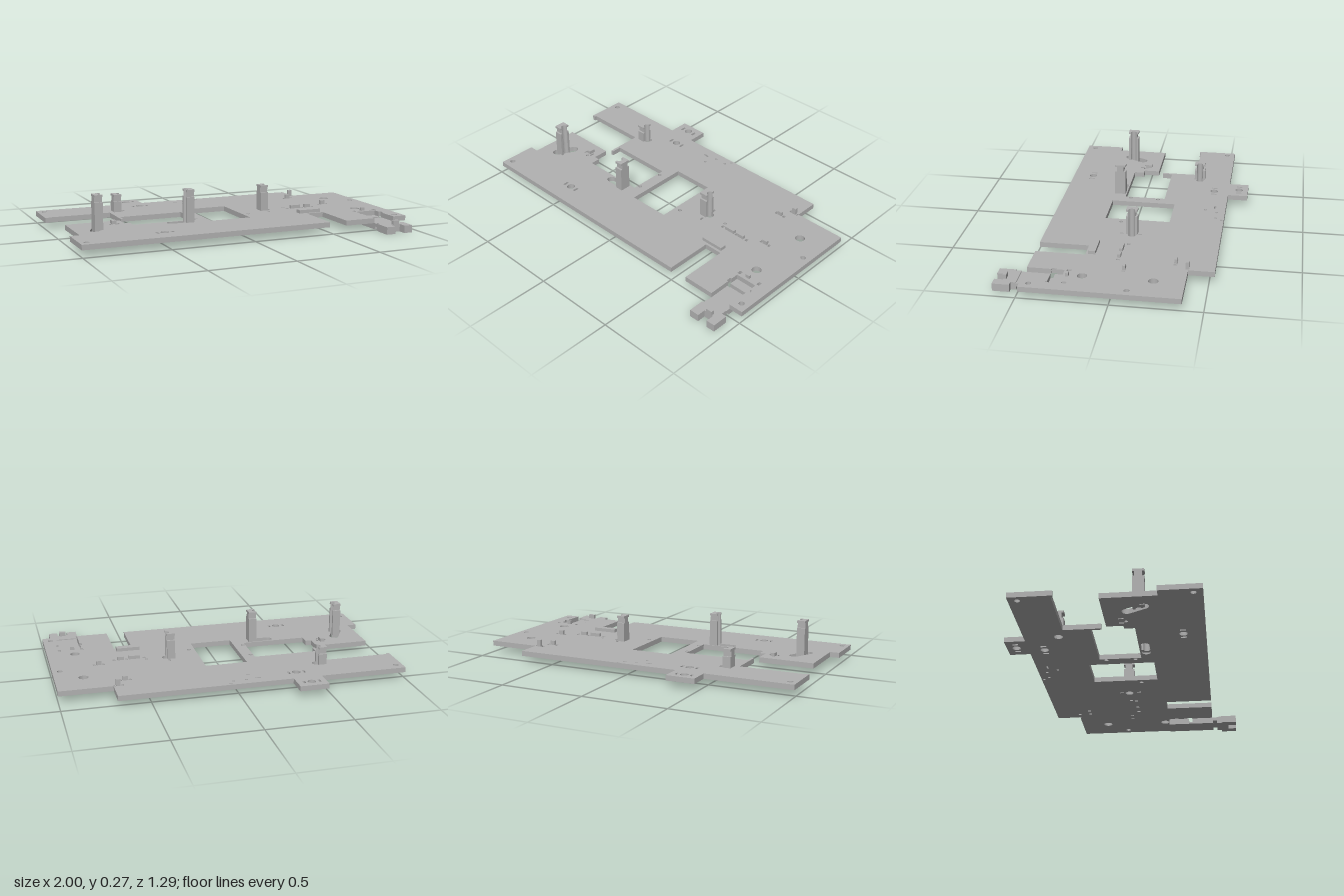
import * as THREE from 'three';

const grey = new THREE.MeshStandardMaterial({ color: 0xb2b2b2 });
grey.name = 'plain grey';

// Shapes are drawn with (x, z) coordinates and extruded upward in y.
function slab(name, shape, y0, y1) {
  const geo = new THREE.ExtrudeGeometry(shape, { depth: y1 - y0, bevelEnabled: false, curveSegments: 10 });
  geo.rotateX(Math.PI / 2); // (x, z, depth) -> (x, -depth, z)
  geo.translate(0, y1, 0);
  const mesh = new THREE.Mesh(geo, grey);
  mesh.name = name;
  return mesh;
}

function box(name, x0, x1, y0, y1, z0, z1) {
  const geo = new THREE.BoxGeometry(x1 - x0, y1 - y0, z1 - z0);
  geo.translate((x0 + x1) / 2, (y0 + y1) / 2, (z0 + z1) / 2);
  const mesh = new THREE.Mesh(geo, grey);
  mesh.name = name;
  return mesh;
}

const polygon = (pts) => new THREE.Shape(pts.map(([x, z]) => new THREE.Vector2(x, z)));

function roundHole(x, z, r) {
  return new THREE.Path().absarc(x, z, r, 0, Math.PI * 2, true);
}

function rectHole(x, z, w, d) {
  return new THREE.Path([[-1, -1], [-1, 1], [1, 1], [1, -1], [-1, -1]].map(
    ([i, j]) => new THREE.Vector2(x + (i * w) / 2, z + (j * d) / 2)));
}

// Rounded slot between two centres
function slotHole(xa, za, xb, zb, r) {
  const a = Math.atan2(zb - za, xb - xa);
  const path = new THREE.Path();
  path.absarc(xb, zb, r, a - Math.PI / 2, a + Math.PI / 2, false);
  path.absarc(xa, za, r, a + Math.PI / 2, a + Math.PI * 1.5, false);
  path.closePath();
  return path;
}

// Main board with its cut-outs
function basePlate() {
  const shape = polygon([
    [-1, -0.53], [-0.485, -0.53], [-0.485, -0.65], [-0.315, -0.65], [-0.315, -0.53],
    [0.69, -0.53], [0.69, -0.385], [1, -0.385], [1, 0.485],
    [0.93, 0.485], [0.915, 0.485], [0.915, 0.35], [0.93, 0.35], [0.93, 0.32], [0.915, 0.32], [0.915, 0.275],
    [0.785, 0.275], [0.785, 0.32], [0.775, 0.32], [0.775, 0.35], [0.785, 0.35], [0.785, 0.485],
    [0.595, 0.485], [0.595, 0.2], [0.485, 0.2], [0.485, 0.485], [-1, 0.485],
    [-1, 0.25], [-0.945, 0.25], [-0.945, -0.055], [-0.62, -0.055], [-0.62, 0.04],
    [-0.585, 0.04], [-0.585, 0.1], [-0.2, 0.1], [-0.2, -0.145], [-0.585, -0.145],
    [-0.585, -0.085], [-0.6, -0.085], [-0.6, -0.3], [-0.98, -0.3], [-0.98, -0.29], [-1, -0.29],
  ]);
  const holes = shape.holes;
  holes.push(rectHole(-0.005, -0.0225, 0.25, 0.385));
  // Screw and locating holes: x, z, radius
  for (const [x, z, r] of [
    [-0.96, -0.48, 0.016], [-0.96, 0.435, 0.016], [0.955, -0.09, 0.016], [0.955, 0.435, 0.016],
    [0.835, -0.215, 0.028], [0.835, 0.17, 0.028], [-0.52, -0.335, 0.025], [0.315, -0.02, 0.025],
    [-0.185, -0.105, 0.012], [-0.185, 0.065, 0.012], [0.155, 0.07, 0.012], [0.435, -0.02, 0.01],
    [-0.05, -0.48, 0.008], [0.025, -0.48, 0.008], [0.05, -0.515, 0.008], [-0.08, -0.41, 0.008],
    [-0.67, 0.06, 0.01],
  ]) holes.push(roundHole(x, z, r));
  // Round holes flanked by two slots
  for (const [x, z] of [[-0.4, -0.595], [-0.36, -0.44], [-0.49, 0.36]]) {
    holes.push(roundHole(x, z, 0.024));
    for (const s of [-1, 1]) holes.push(rectHole(x + s * 0.045, z, 0.014, 0.034));
  }
  // Small clip slots: x, z, width, depth
  for (const [x, z, w, d] of [
    [0.305, -0.065, 0.012, 0.025], [0.305, 0.04, 0.012, 0.025],
    [0.585, -0.31, 0.016, 0.02], [0.64, -0.31, 0.016, 0.02],
    [0.64, -0.38, 0.016, 0.02], [0.685, -0.38, 0.008, 0.02],
    [0.695, -0.04, 0.014, 0.02], [0.75, -0.04, 0.014, 0.02],
    [0.445, 0.01, 0.016, 0.02], [0.55, 0.01, 0.016, 0.02], [0.625, 0.01, 0.016, 0.02],
    [0.785, 0.25, 0.018, 0.025], [0.92, 0.25, 0.018, 0.025],
    [-0.705, 0.035, 0.01, 0.03], [-0.655, 0.035, 0.01, 0.03],
  ]) holes.push(rectHole(x, z, w, d));
  holes.push(slotHole(-0.365, 0.135, -0.27, 0.135, 0.026));
  holes.push(slotHole(-0.835, 0.17, -0.785, 0.075, 0.028));
  holes.push(slotHole(-0.135, -0.468, -0.11, -0.465, 0.006));
  return slab('basePlate', shape, 0.04, 0.07);
}

// Upright post with a half-round channel and notched sides near the top
function post(x, z, top, side) {
  const group = new THREE.Group();
  group.name = 'supportPost';
  const section = (hz) => {
    const hx = 0.024, r = 0.019;
    const shape = new THREE.Shape();
    shape.moveTo(-hx, -hz);
    shape.lineTo(hx, -hz);
    shape.lineTo(hx, -r);
    shape.absarc(hx, 0, r, -Math.PI / 2, Math.PI / 2, true);
    shape.lineTo(hx, hz);
    shape.lineTo(-hx, hz);
    shape.closePath();
    return shape;
  };
  group.add(
    slab('postShaft', section(0.033), 0.05, top - 0.043),
    slab('postNeck', section(0.021), top - 0.043, top - 0.013),
    slab('postCap', section(0.033), top - 0.013, top));
  if (side < 0) group.rotation.y = Math.PI;
  group.position.set(x, 0, z);
  return group;
}

// Stepped tray slung under the front edge
function tray() {
  const group = new THREE.Group();
  group.name = 'lowerTray';
  group.add(
    box('trayFloor', 0.785, 0.915, 0.003, 0.015, 0.2, 0.49),
    box('trayRear', 0.785, 0.915, 0.015, 0.04, 0.2, 0.33),
    box('trayMiddle', 0.785, 0.915, 0.015, 0.04, 0.355, 0.49),
    box('trayNeck', 0.785, 0.915, 0.02, 0.04, 0.49, 0.515),
    slab('trayFork', polygon([
      [0.785, 0.515], [0.915, 0.515], [0.915, 0.545], [0.945, 0.545], [0.945, 0.64], [0.893, 0.64],
      [0.893, 0.59], [0.832, 0.59], [0.832, 0.64], [0.775, 0.64], [0.775, 0.545], [0.785, 0.545],
    ]), 0.001, 0.045),
    box('trayPeg', 0.845, 0.885, 0.045, 0.07, 0.575, 0.595));
  return group;
}

export function createModel() {
  const model = new THREE.Group();
  model.name = 'mountingBoard';
  model.add(basePlate(), tray());

  // Posts: x, z, top, channel direction
  for (const p of [
    [-0.81, 0.14, 0.27, 1], [-0.26, 0.14, 0.262, -1],
    [-0.548, -0.333, 0.177, 1], [0.29, -0.018, 0.227, 1],
  ]) model.add(post(...p));

  // Raised clips and bars: x0, x1, top, z0, z1
  for (const [x0, x1, top, z0, z1] of [
    [0.598, 0.626, 0.095, -0.318, -0.302], [0.652, 0.676, 0.11, -0.39, -0.37],
    [0.707, 0.737, 0.095, -0.048, -0.032], [0.83, 0.855, 0.09, 0.242, 0.258],
    [0.47, 0.535, 0.09, 0, 0.02], [0.565, 0.605, 0.09, 0, 0.02],
    [0.445, 0.585, 0.09, 0.145, 0.185], [-0.693, -0.667, 0.09, 0, 0.04],
  ]) model.add(box('smallClip', x0, x1, 0.06, top, z0, z1));

  return model;
}
